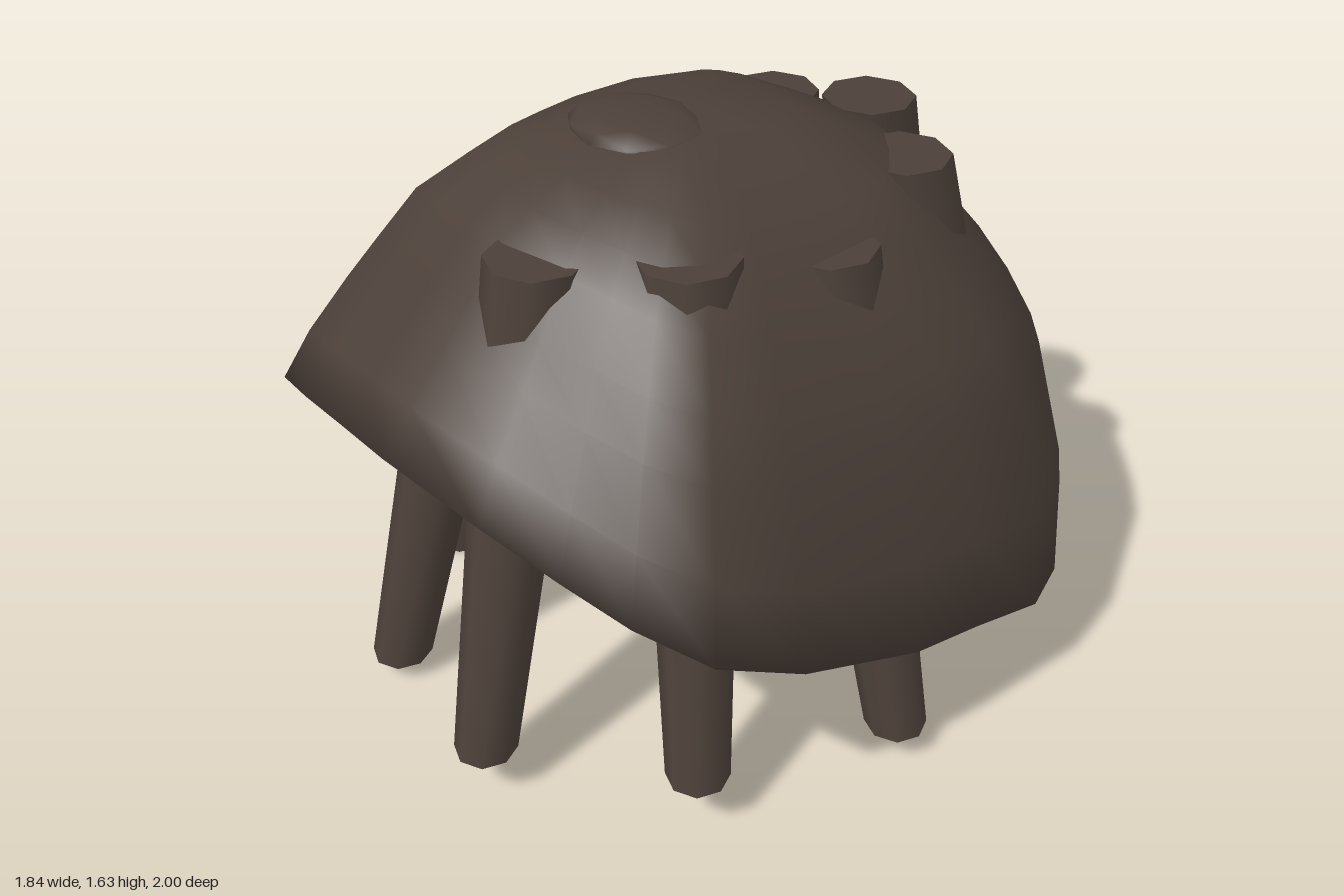
import * as THREE from 'three';
import { mergeVertices } from 'three/addons/utils/BufferGeometryUtils.js';

// Plan outline of the shell rim [x, z], from the back round through +x
const OUTLINE = [
  [0, -1], [0.37, -0.98], [0.57, -0.9], [0.71, -0.75], [0.83, -0.58], [0.92, -0.36],
  [0.905, -0.12], [0.89, 0.1], [0.86, 0.48], [0.81, 0.72], [0.67, 0.84], [0.49, 0.89], [0.31, 0.97],
  [0, 1], [-0.25, 0.95], [-0.49, 0.91], [-0.68, 0.86], [-0.78, 0.7], [-0.86, 0.4], [-0.92, 0.07],
  [-0.91, -0.36], [-0.82, -0.56], [-0.73, -0.77], [-0.59, -0.9], [-0.24, -0.97],
];
const TOP = 1.61;

// Height of the tilted rim along z
const RIM = [[-1, 0.17], [-0.45, 0.33], [-0.2, 0.4], [0.1, 0.46], [0.4, 0.58], [0.65, 0.7], [0.87, 0.88], [1, 1.04]];
function rimY(z) {
  let i = 0;
  while (i < RIM.length - 2 && z > RIM[i + 1][0]) i++;
  const [z0, y0] = RIM[i], [z1, y1] = RIM[i + 1];
  return y0 + ((y1 - y0) * (z - z0)) / (z1 - z0);
}

// Nearly flat underside rings [scale, lift, extra lift at the sides], from the centre out
const UNDER = [[0, 0.06, 0], [0.45, 0.045, 0.02], [0.75, 0.01, 0.055]];

// Dome profiles [scale, share of height]: round at back and sides, straighter in front
const ROUND = [[1, 0], [0.978, 0.23], [0.885, 0.49], [0.805, 0.6], [0.715, 0.7], [0.595, 0.81], [0.475, 0.9], [0.22, 0.99], [0, 1]];
const STRAIGHT = [[1, 0], [0.91, 0.18], [0.8, 0.38], [0.72, 0.54], [0.62, 0.74], [0.53, 0.83], [0.43, 0.92], [0.25, 0.99], [0, 1]];

// One point of the closed shell; ring 0 is the underside centre, the last the summit
function shellPoint(ring, x, z) {
  const facing = z / Math.hypot(x, z);
  if (ring < UNDER.length) {
    const [s, lift, side] = UNDER[ring];
    return [x * s, rimY(z * s) + lift + side * (1 - facing * facing), z * s];
  }
  const k = ring - UNDER.length;
  const front = Math.max(0, facing);
  const s = THREE.MathUtils.lerp(ROUND[k][0], STRAIGHT[k][0], front);
  const h = THREE.MathUtils.lerp(ROUND[k][1], STRAIGHT[k][1], front);
  return [x * s, rimY(z) + (TOP - rimY(z)) * h, z * s];
}

function shellGeometry() {
  const pos = [], index = [], n = OUTLINE.length;
  const rings = UNDER.length + ROUND.length;
  for (let k = 0; k < rings; k++) {
    for (const [x, z] of OUTLINE) pos.push(...shellPoint(k, x, z));
  }
  for (let k = 0; k < rings - 1; k++) {
    for (let i = 0; i < n; i++) {
      const a = k * n + i, b = k * n + ((i + 1) % n);
      const c = b + n, d = a + n;
      index.push(a, c, b, a, d, c);
    }
  }
  let geo = new THREE.BufferGeometry();
  geo.setAttribute('position', new THREE.Float32BufferAttribute(pos, 3));
  geo.setIndex(index);
  geo = mergeVertices(geo, 1e-5);
  geo.computeVertexNormals();
  return geo;
}

// Pegs running right through the shell: bottom x, y, z, then top x, z
const PEGS = [
  [0.14, 0.14, 0.89, 0.1, 0.6],
  [0.6, 0.16, 0.575, 0.365, 0.38],
  [0.78, 0.09, 0.02, 0.46, 0.02],
  [0.66, 0.16, -0.55, 0.36, -0.36],
  [0.15, 0.165, -0.83, 0.08, -0.55],
  [-0.37, 0.1, -0.745, -0.22, -0.5],
  [-0.73, 0.02, -0.28, -0.45, -0.18],
  [-0.73, 0, 0.32, -0.46, 0.2],
  [-0.38, 0.06, 0.79, -0.24, 0.5],
];
const LENGTH = 1.32;

// Tapered peg, sheared so that both ends stay level
function pegGeometry(dx, dz) {
  const geo = new THREE.CylinderGeometry(0.125, 0.083, LENGTH, 8, 1);
  geo.translate(0, LENGTH / 2, 0);
  return geo.applyMatrix4(new THREE.Matrix4().set(
    1, dx / LENGTH, 0, 0,
    0, 1, 0, 0,
    0, dz / LENGTH, 1, 0,
    0, 0, 0, 1,
  ));
}

export function createModel() {
  const model = new THREE.Group();
  const brown = new THREE.MeshStandardMaterial({ color: 0x4c4039 });
  brown.name = 'dark brown';
  const add = (name, geo) => {
    const mesh = new THREE.Mesh(geo, brown);
    mesh.name = name;
    model.add(mesh);
    return mesh;
  };

  // Domed shell with its nearly flat underside
  add('shell', shellGeometry());

  // Low uneven crown on the summit
  const crown = new THREE.IcosahedronGeometry(1, 1);
  crown.scale(0.2, 0.045, 0.16);
  add('crown', crown).position.set(-0.04, 1.585, 0.16);

  // Ring of leaning pegs
  for (const [x0, y0, z0, x1, z1] of PEGS) {
    add('peg', pegGeometry(x1 - x0, z1 - z0)).position.set(x0, y0, z0);
  }
  return model;
}
